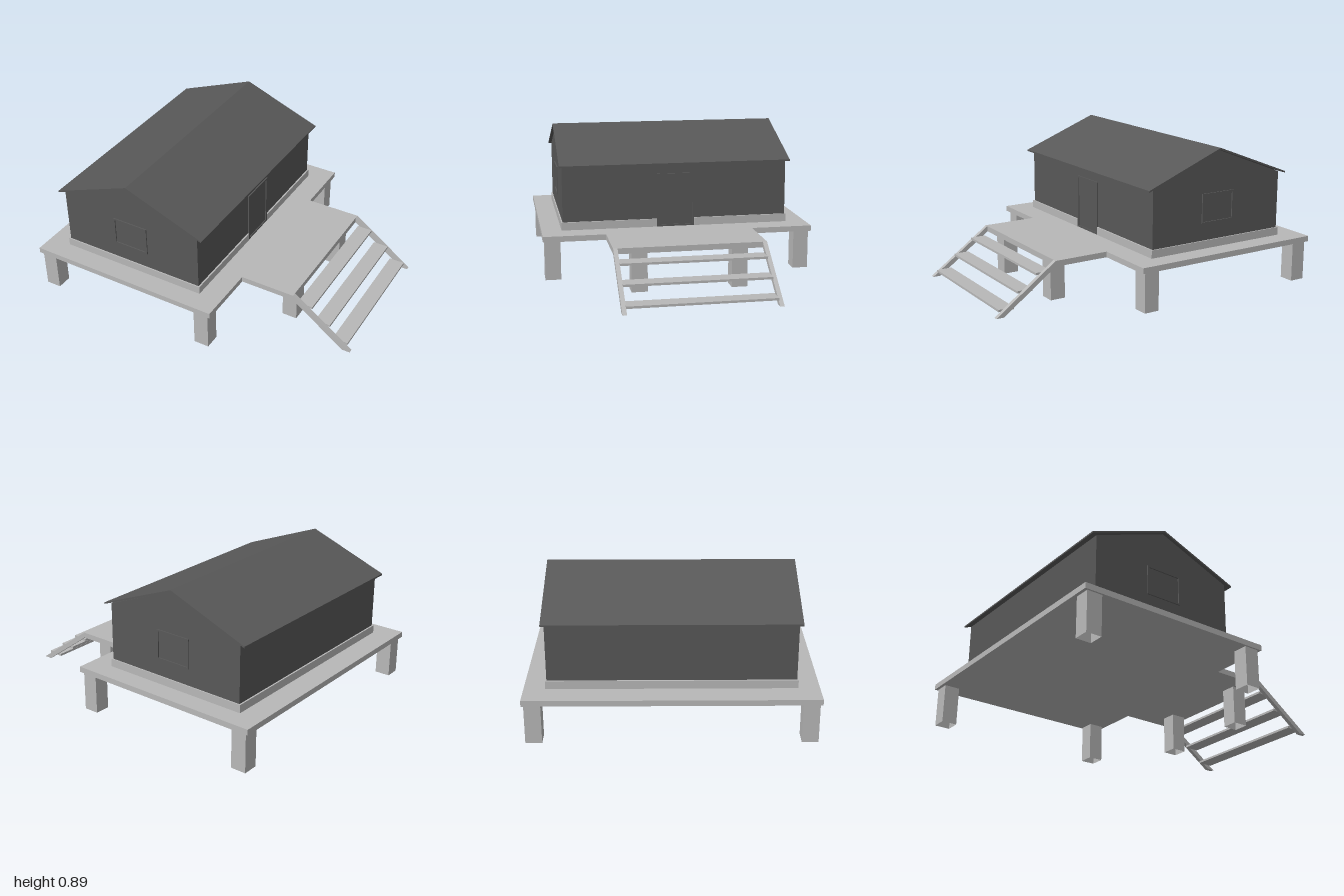
import * as THREE from 'three';

export function createModel() {
  const model = new THREE.Group();
  const lightGrey = new THREE.MeshStandardMaterial({ color: 0xb8b8b8 });
  lightGrey.name = 'lightGrey';
  const darkGrey = new THREE.MeshStandardMaterial({ color: 0x585858 });
  darkGrey.name = 'darkGrey';
  const lightOpen = new THREE.MeshStandardMaterial({ color: 0xb8b8b8, side: THREE.DoubleSide });
  lightOpen.name = 'lightGreyOpen';

  const add = (name, geometry, material, parent = model) => {
    const mesh = new THREE.Mesh(geometry, material);
    mesh.name = name;
    parent.add(mesh);
    return mesh;
  };
  const group = (name) => {
    const g = new THREE.Group();
    g.name = name;
    model.add(g);
    return g;
  };
  // Box given by its lower and upper limits on each axis
  const box = (name, x0, x1, y0, y1, z0, z1, material, parent) =>
    add(name, new THREE.BoxGeometry(x1 - x0, y1 - y0, z1 - z0)
      .translate((x0 + x1) / 2, (y0 + y1) / 2, (z0 + z1) / 2), material, parent);
  const extrude = (points, depth, holes = []) => {
    const shape = new THREE.Shape(points.map(([x, y]) => new THREE.Vector2(x, y)));
    for (const h of holes) shape.holes.push(new THREE.Path(h.map(([x, y]) => new THREE.Vector2(x, y))));
    return new THREE.ExtrudeGeometry(shape, { depth, bevelEnabled: false });
  };
  // Floor plan raised from y0 to y1
  const slab = (points, y0, y1) => extrude(points, y1 - y0).rotateX(-Math.PI / 2).translate(0, y0, 0);
  // Outline with an inset opening, for window and door trim
  const trim = (w, h, t, depth) => extrude(
    [[-w, 0], [w, 0], [w, h], [-w, h]], depth,
    [[[-w + t, t], [-w + t, h - t], [w - t, h - t], [w - t, t]]]);

  // Deck with its projecting landing
  add('deck', slab([[-1, -0.85], [0.26, -0.85], [0.26, -0.463], [0.61, -0.463],
    [0.61, 0.463], [0.26, 0.463], [0.26, 0.85], [-1, 0.85]], 0.245, 0.28), lightGrey);

  // Hollow square posts
  const posts = group('posts');
  for (const [x, z] of [[-0.932, 0.79], [0.19, 0.79], [0.535, 0.304]]) {
    for (const s of [-1, 1]) {
      const post = add('post', new THREE.CylinderGeometry(0.0682, 0.0682, 0.245, 4, 1, true)
        .rotateY(Math.PI / 4).toNonIndexed(), lightOpen, posts);
      post.geometry.computeVertexNormals();
      post.position.set(x, 0.1225, s * z);
    }
  }

  // Plinth, notched for the doorway
  add('plinth', slab([[-0.855, -0.725], [0.115, -0.725], [0.115, -0.12], [0.08, -0.12],
    [0.08, 0.12], [0.115, 0.12], [0.115, 0.725], [-0.855, 0.725]], 0.28, 0.33), lightGrey);

  // Walls with gables at both ends
  add('walls', extrude([[-0.845, 0.33], [0.105, 0.33], [0.105, 0.69], [-0.37, 0.875],
    [-0.845, 0.69]], 1.434).translate(0, 0, -0.717), darkGrey);

  // Thin pitched roof with overhanging eaves
  add('roof', extrude([[-0.885, 0.681], [-0.37, 0.877], [0.145, 0.681], [0.145, 0.691],
    [-0.37, 0.89], [-0.885, 0.691]], 1.47).translate(0, 0, -0.735), darkGrey);

  // Door and its trim on the landing side
  const door = group('door');
  box('doorPanel', 0.085, 0.107, 0.28, 0.61, -0.12, 0.12, darkGrey, door);
  add('doorTrim', trim(0.12, 0.34, 0.012, 0.008).rotateY(Math.PI / 2).translate(0.105, 0.28, 0), darkGrey, door);

  // Matching windows in both gables
  for (const s of [1, -1]) {
    const frame = add('windowTrim', trim(0.118, 0.185, 0.01, 0.008), darkGrey);
    frame.position.set(-0.37, 0.435, s * 0.716);
    frame.rotation.y = s > 0 ? 0 : Math.PI;
  }

  // Open stair: two stringers and three treads
  const stairs = group('stairs');
  for (const z of [-0.463, 0.437]) {
    add('stringer', extrude([[0.61, 0.245], [0.95, 0], [1, 0], [0.61, 0.28]], 0.026)
      .translate(0, 0, z), lightGrey, stairs);
  }
  for (let i = 0; i < 3; i++) {
    const x = 0.63 + i * 0.122, y = 0.206 - i * 0.089;
    box('tread', x, x + 0.098, y, y + 0.014, -0.438, 0.438, lightGrey, stairs);
  }
  return model;
}
